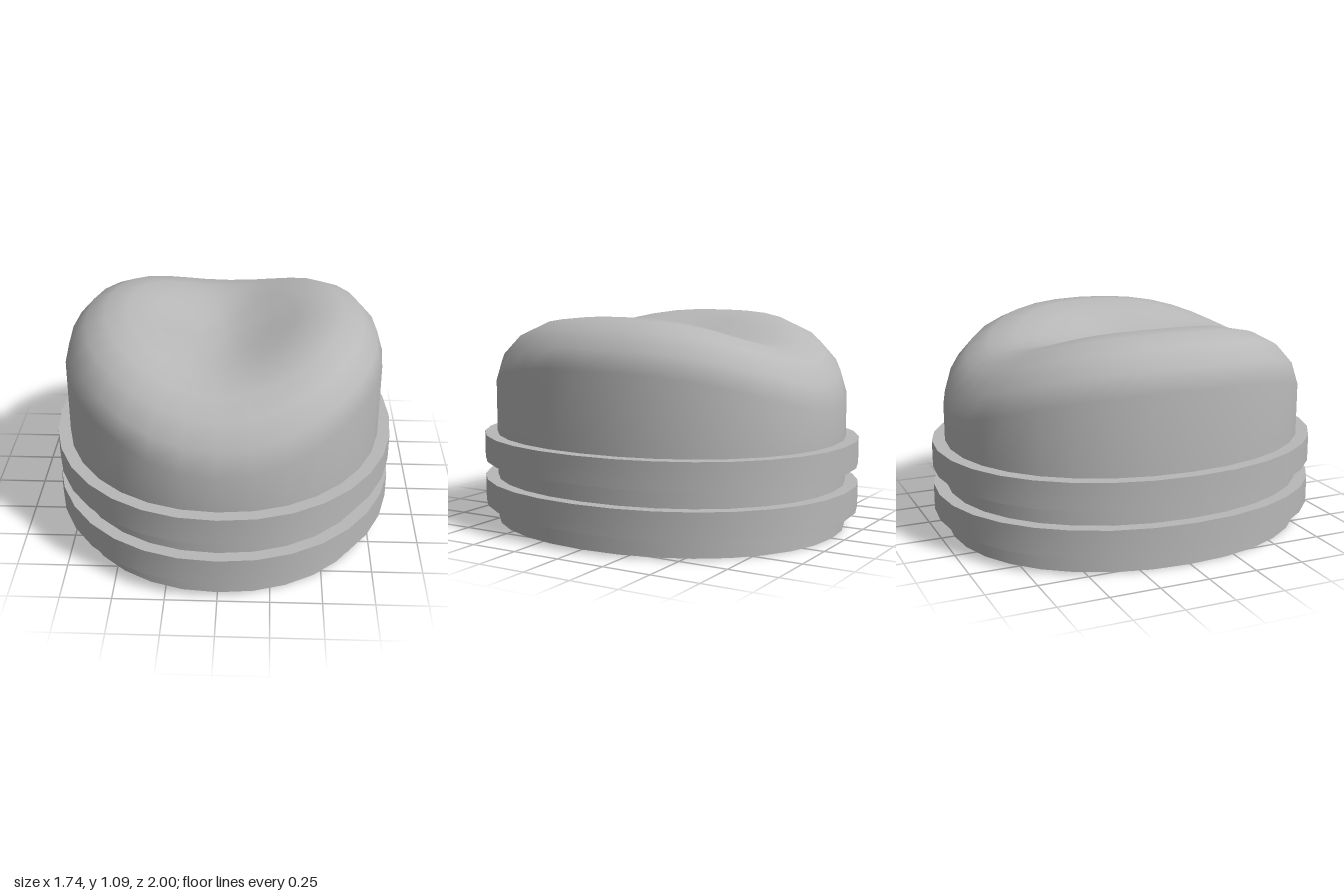
import * as THREE from 'three';
import { mergeVertices } from 'three/addons/utils/BufferGeometryUtils.js';

const SEGMENTS = 32;
const BODY = [0.807, 0.934];
const BAND = [0.87, 1.0];
const BORE = [0.727, 0.842];

// Slightly squared oval ring; height may vary with the angle
function ring([rx, rz], height, scale = 1) {
  const power = (v) => Math.sign(v) * Math.abs(v) ** 0.95;
  return Array.from({ length: SEGMENTS }, (_, j) => {
    const a = (j / SEGMENTS) * Math.PI * 2;
    const c = Math.cos(a), s = Math.sin(a);
    const y = typeof height === 'function' ? height(c) : height;
    return [rx * scale * power(c), y, rz * scale * power(s)];
  });
}

// Smooth sheet through a list of rings
function loft(rings) {
  const index = [];
  for (let i = 0; i < rings.length - 1; i++) {
    for (let j = 0; j < SEGMENTS; j++) {
      const k = (j + 1) % SEGMENTS;
      const a = i * SEGMENTS + j, b = i * SEGMENTS + k;
      const c = a + SEGMENTS, d = b + SEGMENTS;
      index.push(a, c, b, b, c, d);
    }
  }
  let geometry = new THREE.BufferGeometry();
  geometry.setAttribute('position', new THREE.Float32BufferAttribute(rings.flat(2), 3));
  geometry.setIndex(index);
  geometry = mergeVertices(geometry, 1e-4);
  geometry.computeVertexNormals();
  return geometry;
}

export function createModel() {
  const model = new THREE.Group();
  model.name = 'saddleTopCap';
  const grey = new THREE.MeshStandardMaterial({ color: 0xb8b8b8 });
  grey.name = 'grey';

  const add = (parent, name, rings) => {
    const mesh = new THREE.Mesh(loft(rings), grey);
    mesh.name = name;
    parent.add(mesh);
  };

  // Saddle top: ring scale, height at the sides, height at front and back
  const profile = [
    [1, 0.85, 0.64], [0.963, 0.95, 0.76], [0.87, 1.035, 0.865],
    [0.745, 1.08, 0.93], [0.6, 1.085, 0.95], [0.45, 1.045, 0.951],
    [0.3, 0.99, 0.943], [0.15, 0.947, 0.936], [0, 0.932, 0.932],
  ];
  const dome = profile.map(([scale, side, front]) => ring(BODY, (c) => {
    const w = c * c * (1.6 - 0.6 * c * c);
    return front + (side - front) * w;
  }, scale));

  // Hollow body
  const body = new THREE.Group();
  body.name = 'body';
  model.add(body);
  add(body, 'outerShell', [ring(BODY, 0), ring(BODY, 0.46), ...dome]);
  add(body, 'bottomRim', [ring(BORE, 0), ring(BODY, 0)]);
  add(body, 'innerWall', [ring(BORE, 0.74), ring(BORE, 0)]);
  add(body, 'innerCeiling', [ring(BORE, 0.74, 0), ring(BORE, 0.74)]);

  // Two raised bands with crisp edges
  [['lowerBand', 0.095, 0.232], ['upperBand', 0.325, 0.462]].forEach(([name, low, high]) => {
    const band = new THREE.Group();
    band.name = name;
    model.add(band);
    add(band, 'bandUnderside', [ring(BODY, low, 0.99), ring(BAND, low)]);
    add(band, 'bandSide', [ring(BAND, low), ring(BAND, high)]);
    add(band, 'bandTop', [ring(BAND, high), ring(BODY, high, 0.99)]);
  });

  return model;
}
